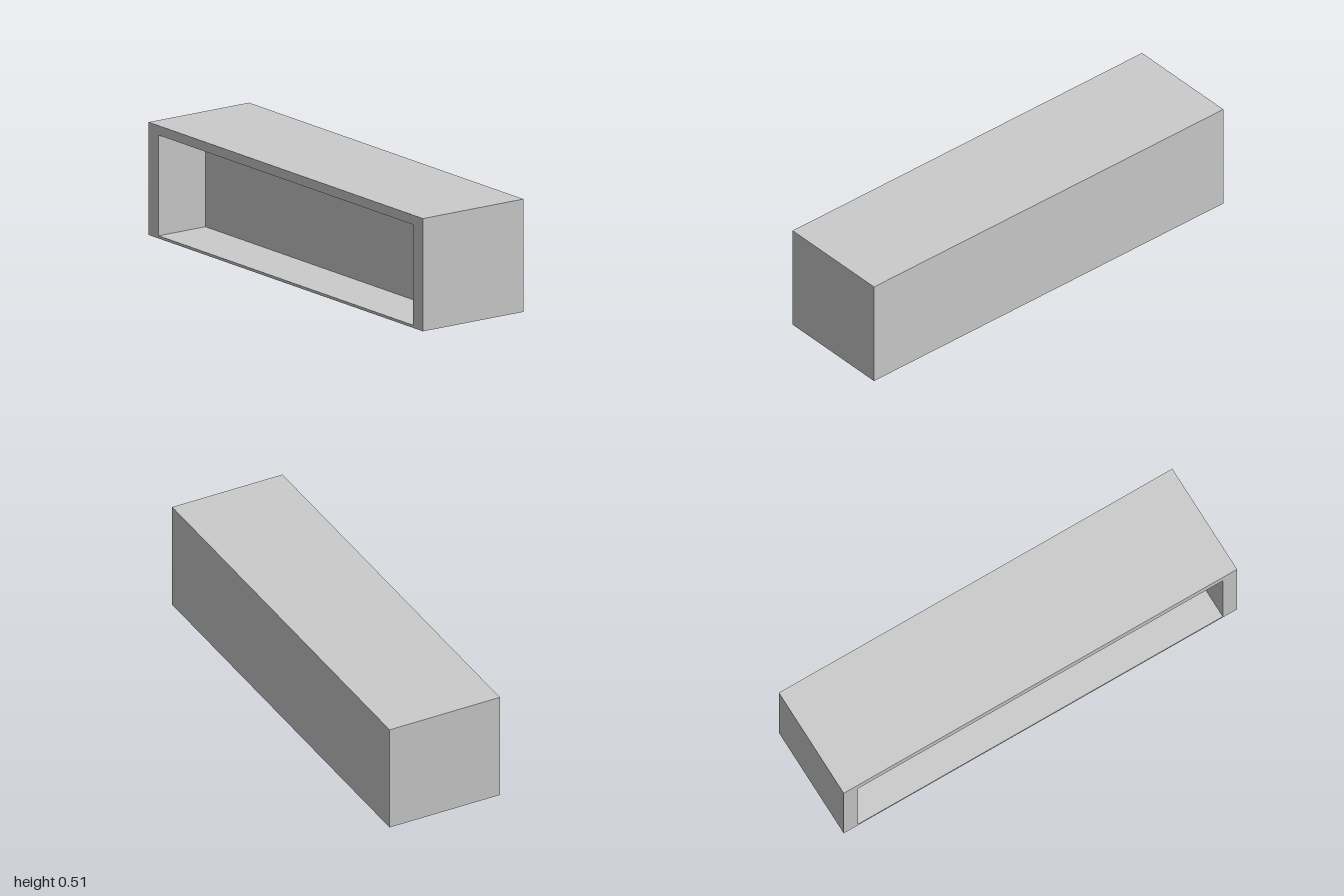
import * as THREE from 'three';

const W = 2, H = 0.508, D = 0.544;                      // outer casing
const X0 = -0.927, X1 = 0.927, Y0 = 0.012, Y1 = 0.465;  // front opening
const DEPTH = 0.253;                                    // recess depth

// Box without its front face; inward turns its walls to face the inside.
function openBox(w, h, d, inward) {
  const geo = new THREE.BoxGeometry(w, h, d);
  const index = Array.from(geo.index.array).filter((_, i) => i < 24 || i >= 30);
  geo.setIndex(inward ? index.reverse() : index);
  if (inward) {
    const n = geo.attributes.normal;
    for (let i = 0; i < n.count; i++) n.setXYZ(i, -n.getX(i), -n.getY(i), -n.getZ(i));
  }
  return geo;
}

function rectangle(PathType, x0, y0, x1, y1) {
  return new PathType([[x0, y0], [x1, y0], [x1, y1], [x0, y1]].map(p => new THREE.Vector2(...p)));
}

export function createModel() {
  const group = new THREE.Group();
  group.name = 'recessedBox';
  const material = new THREE.MeshStandardMaterial({ color: 0xcccccc });
  const add = (name, geometry, x, y, z) => {
    const mesh = new THREE.Mesh(geometry, material);
    mesh.name = name;
    mesh.position.set(x, y, z);
    group.add(mesh);
  };

  // Outer casing: top, bottom, sides and back
  add('casing', openBox(W, H, D, false), 0, H / 2, 0);

  // Front border around the opening
  const border = rectangle(THREE.Shape, -W / 2, 0, W / 2, H);
  border.holes.push(rectangle(THREE.Path, X0, Y0, X1, Y1));
  add('frontFrame', new THREE.ShapeGeometry(border), 0, 0, D / 2);

  // Shallow niche behind the opening
  add('niche', openBox(X1 - X0, Y1 - Y0, DEPTH, true),
    (X0 + X1) / 2, (Y0 + Y1) / 2, D / 2 - DEPTH / 2);

  return group;
}
